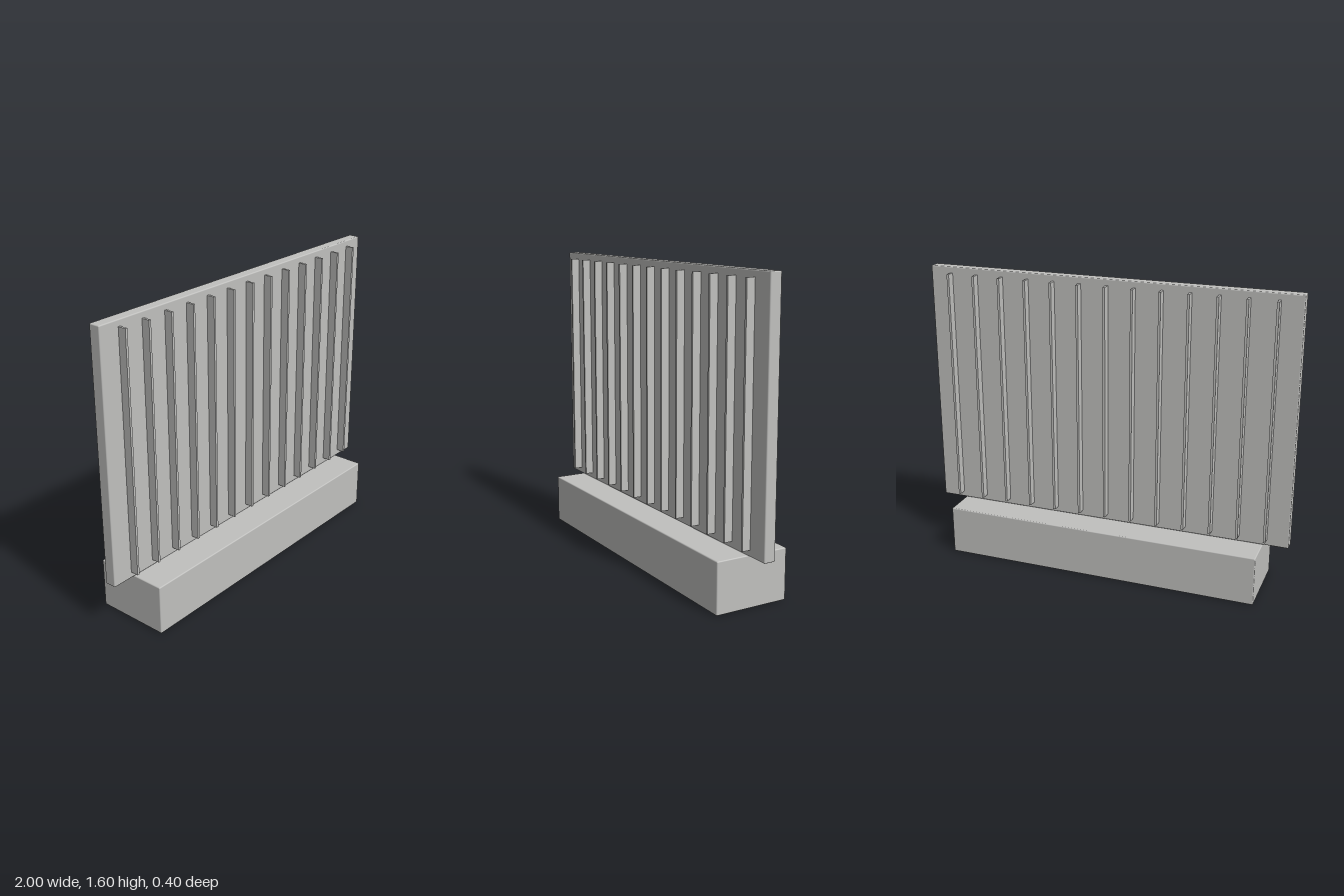
import * as THREE from 'three';
import { RoundedBoxGeometry } from 'three/addons/geometries/RoundedBoxGeometry.js';

export function createModel() {
  const group = new THREE.Group();
  const concrete = new THREE.MeshStandardMaterial({ color: 0xc0c0be });

  const add = (name, geometry, x, y, z) => {
    const mesh = new THREE.Mesh(geometry, concrete);
    mesh.name = name;
    mesh.position.set(x, y, z);
    group.add(mesh);
  };

  // Heavy footing and upright panel, both with softened edges
  add('footing', new RoundedBoxGeometry(1.73, 0.267, 0.4, 2, 0.006), 0, 0.1335, 0);
  add('panel', new RoundedBoxGeometry(2, 1.333, 0.062, 2, 0.006), 0, 0.9335, 0);

  // Thirteen slim vertical ribs on each face of the panel
  const rib = new THREE.BoxGeometry(0.0125, 1.267, 0.05);
  for (const side of [1, -1]) {
    for (let i = -6; i <= 6; i++) {
      add(side > 0 ? 'frontRib' : 'backRib', rib, i * 0.1467, 0.9335, side * 0.05);
    }
  }
  return group;
}
